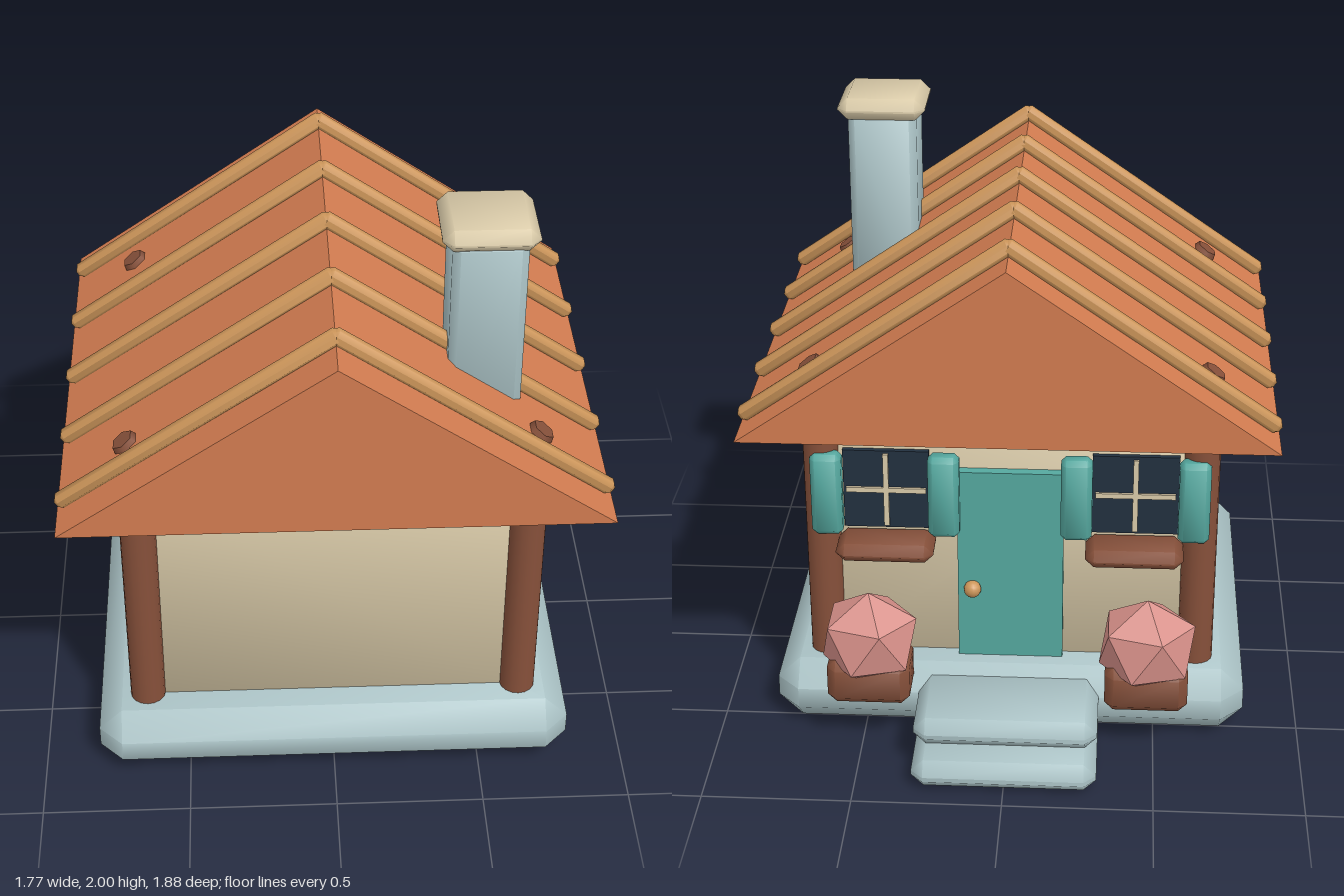
import * as THREE from 'three';
import { toCreasedNormals } from 'three/addons/utils/BufferGeometryUtils.js';
import { ConvexGeometry } from 'three/addons/geometries/ConvexGeometry.js';

const paint = (name, color, extra = {}) => {
  const m = new THREE.MeshStandardMaterial({ color, ...extra });
  m.name = name;
  return m;
};

// Box with one flat bevel on every edge, shaded softly across the bevels
function bevelBox(w, h, d, c) {
  const points = [];
  for (const x of [-1, 1]) for (const y of [-1, 1]) for (const z of [-1, 1]) {
    const [a, b, e] = [w / 2, h / 2, d / 2];
    points.push(
      new THREE.Vector3(x * a, y * (b - c), z * (e - c)),
      new THREE.Vector3(x * (a - c), y * b, z * (e - c)),
      new THREE.Vector3(x * (a - c), y * (b - c), z * e));
  }
  return toCreasedNormals(new ConvexGeometry(points), 1.0);
}

export function createModel() {
  const house = new THREE.Group();
  house.name = 'cottage';

  const stone = paint('stone', 0xabc3c6);
  const plaster = paint('plaster', 0xdacba9);
  const tile = paint('roofTile', 0xd27c50);
  const timber = paint('darkTimber', 0x86503a);
  const batten = paint('batten', 0xcd965a);
  const teal = paint('tealPaint', 0x55a89f);
  const glass = paint('darkGlass', 0x22303f);
  const flower = paint('flower', 0xd8918a);

  const add = (name, geometry, material, x, y, z, parent = house) => {
    const mesh = new THREE.Mesh(geometry, material);
    mesh.name = name;
    mesh.position.set(x, y, z);
    parent.add(mesh);
    return mesh;
  };

  // Foundation, walls and steps
  add('foundation', bevelBox(1.62, 0.235, 1.42, 0.08), stone, 0, 0.1175, 0.13);
  add('walls', bevelBox(1.29, 0.96, 1.09, 0.03), plaster, 0, 0.68, 0.13);
  add('lowerStep', bevelBox(0.62, 0.1, 0.42, 0.042), stone, 0, 0.05, -0.73);
  add('upperStep', bevelBox(0.62, 0.1, 0.36, 0.042), stone, 0, 0.15, -0.66);

  // Corner posts
  const postGeo = new THREE.CylinderGeometry(0.06, 0.06, 0.98, 16);
  for (const x of [-0.64, 0.64]) for (const z of [-0.41, 0.67]) {
    add('cornerPost', postGeo, timber, x, 0.69, z);
  }

  // Solid gable roof
  const gable = new THREE.Shape([
    new THREE.Vector2(-0.88, 1.16), new THREE.Vector2(0.88, 1.16), new THREE.Vector2(0, 1.77)]);
  add('roof', new THREE.ExtrudeGeometry(gable, { depth: 1.62, bevelEnabled: false }), tile, 0, 0, -0.68);

  // Battens and knots on both slopes
  const slope = Math.atan2(0.61, 0.88);
  const battenGeo = bevelBox(1.09, 0.05, 0.052, 0.015);
  const knotGeo = new THREE.CylinderGeometry(0.04, 0.05, 0.035, 6);
  for (const side of [-1, 1]) {
    for (let i = -2; i <= 2; i++) {
      add('roofBatten', battenGeo, batten, side * 0.433, 1.5, 0.13 + i * 0.335)
        .rotation.z = -side * slope;
    }
    for (const z of [-0.41, 0.665]) {
      add('roofKnot', knotGeo, timber, side * 0.662, 1.315, z).rotation.z = -side * slope;
    }
  }

  // Chimney
  add('chimney', bevelBox(0.24, 0.75, 0.24, 0.025), stone, 0.49, 1.575, 0.43);
  add('chimneyCap', bevelBox(0.305, 0.076, 0.305, 0.035), plaster, 0.49, 1.962, 0.425);

  // Door
  add('door', new THREE.BoxGeometry(0.36, 0.72, 0.05), teal, 0, 0.59, -0.425);
  add('doorKnob', new THREE.SphereGeometry(0.03, 14, 10), batten, 0.13, 0.505, -0.46);

  // Flower ball with a corner pointing up
  const bloomGeo = new THREE.IcosahedronGeometry(1, 0);
  bloomGeo.rotateZ(Math.atan(2 / (1 + Math.sqrt(5))));
  bloomGeo.scale(0.18, 0.172, 0.16);
  bloomGeo.computeVertexNormals();

  // Windows with shutters, flower ledge and planter on each side of the door
  const shutterGeo = bevelBox(0.105, 0.3, 0.07, 0.017);
  for (const side of [-1, 1]) {
    const bay = new THREE.Group();
    bay.name = 'windowBay';
    bay.position.x = side * 0.42;
    house.add(bay);
    add('windowPane', new THREE.BoxGeometry(0.29, 0.29, 0.03), glass, 0, 0.87, -0.418, bay);
    add('windowBarUpright', new THREE.BoxGeometry(0.018, 0.27, 0.012), plaster, 0, 0.87, -0.437, bay);
    add('windowBarAcross', new THREE.BoxGeometry(0.27, 0.018, 0.012), plaster, 0, 0.87, -0.437, bay);
    for (const s of [-1, 1]) add('shutter', shutterGeo, teal, s * 0.197, 0.87, -0.463, bay);
    add('windowLedge', bevelBox(0.33, 0.065, 0.17, 0.03), timber, 0, 0.682, -0.483, bay);
    add('planter', bevelBox(0.28, 0.165, 0.2, 0.03), timber, side * 0.05, 0.262, -0.612, bay);
    add('flowers', bloomGeo, flower, side * 0.05, 0.398, -0.613, bay);
  }
  return house;
}
